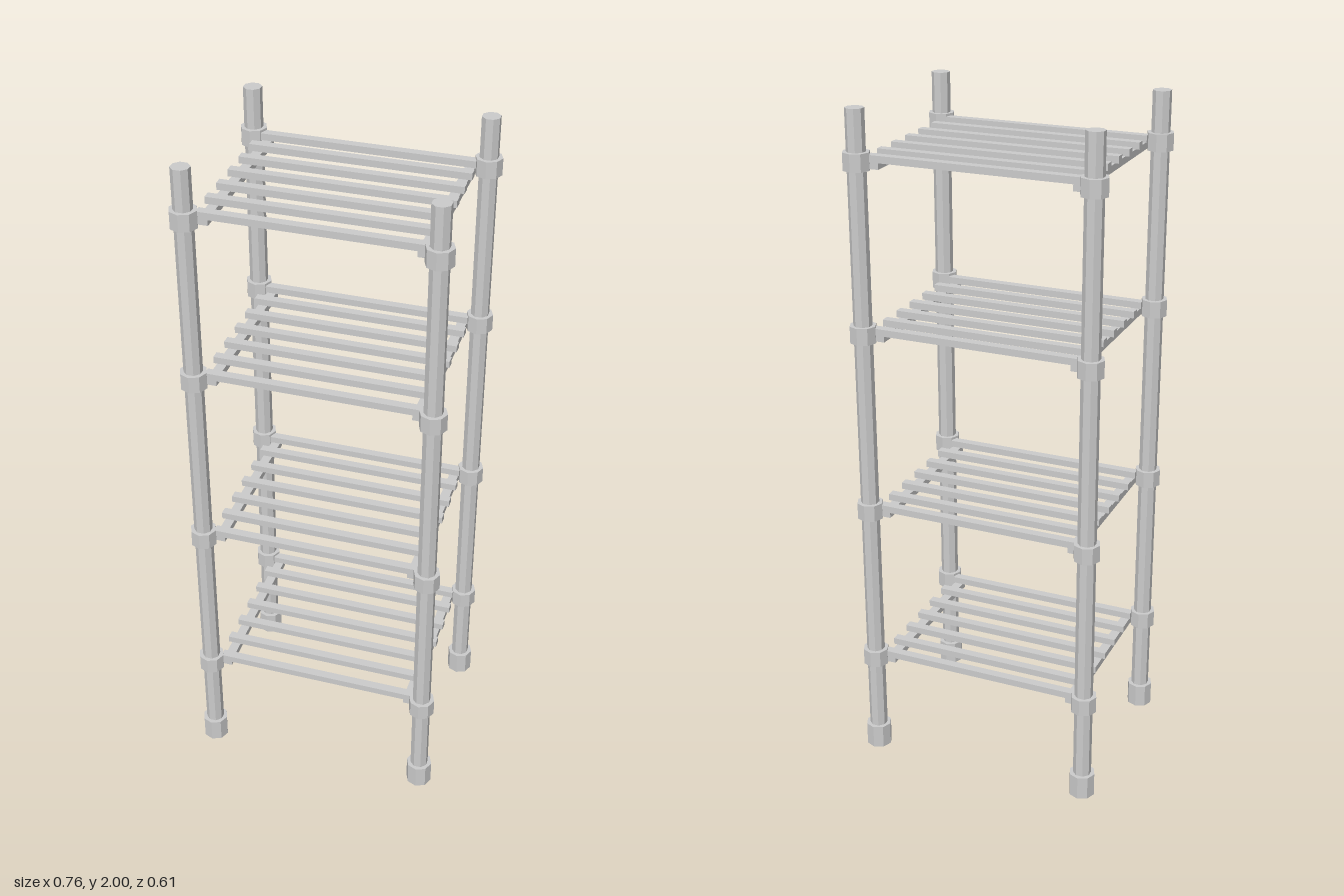
import * as THREE from 'three';

export function createModel() {
  const model = new THREE.Group();
  const material = new THREE.MeshStandardMaterial({ color: 0xcccccc, flatShading: true });

  const postX = 0.34, postZ = 0.268;
  const shelfHeights = [0.317, 0.815, 1.365, 1.857];

  const add = (parent, name, geometry, x, y, z) => {
    const mesh = new THREE.Mesh(geometry, material);
    mesh.name = name;
    mesh.position.set(x, y, z);
    parent.add(mesh);
    return mesh;
  };

  // Shared geometries: octagonal uprights and fittings, rectangular bars
  const postGeo = new THREE.CylinderGeometry(0.027, 0.027, 1.99, 8).rotateY(Math.PI / 8);
  const footGeo = new THREE.CylinderGeometry(0.039, 0.039, 0.072, 8);
  const collarGeo = new THREE.CylinderGeometry(0.039, 0.039, 0.05, 8);
  const slatGeo = new THREE.BoxGeometry(0.635, 0.02, 0.026);
  const endBarGeo = new THREE.BoxGeometry(0.62, 0.02, 0.026);
  const railGeo = new THREE.BoxGeometry(0.028, 0.02, 0.515);

  // Four corner uprights with a foot and a collar at each shelf
  for (const sx of [-1, 1]) {
    for (const sz of [-1, 1]) {
      const corner = new THREE.Group();
      corner.name = 'upright';
      corner.position.set(sx * postX, 0, sz * postZ);
      add(corner, 'post', postGeo, 0, 1.005, 0);
      add(corner, 'foot', footGeo, 0, 0.036, 0);
      for (const y of shelfHeights) add(corner, 'collar', collarGeo, 0, y, 0);
      model.add(corner);
    }
  }

  // Shelves: two side rails below, cross slats resting on top
  for (const y of shelfHeights) {
    const shelf = new THREE.Group();
    shelf.name = 'shelf';
    shelf.position.y = y;
    for (const sx of [-1, 1]) add(shelf, 'sideRail', railGeo, sx * 0.293, -0.012, -0.003);
    add(shelf, 'backBar', endBarGeo, 0, 0.008, -0.254);
    add(shelf, 'frontBar', endBarGeo, 0, 0.008, 0.248);
    for (let i = 0; i < 5; i++) add(shelf, 'slat', slatGeo, 0, 0.008, -0.178 + i * 0.085);
    model.add(shelf);
  }

  return model;
}
